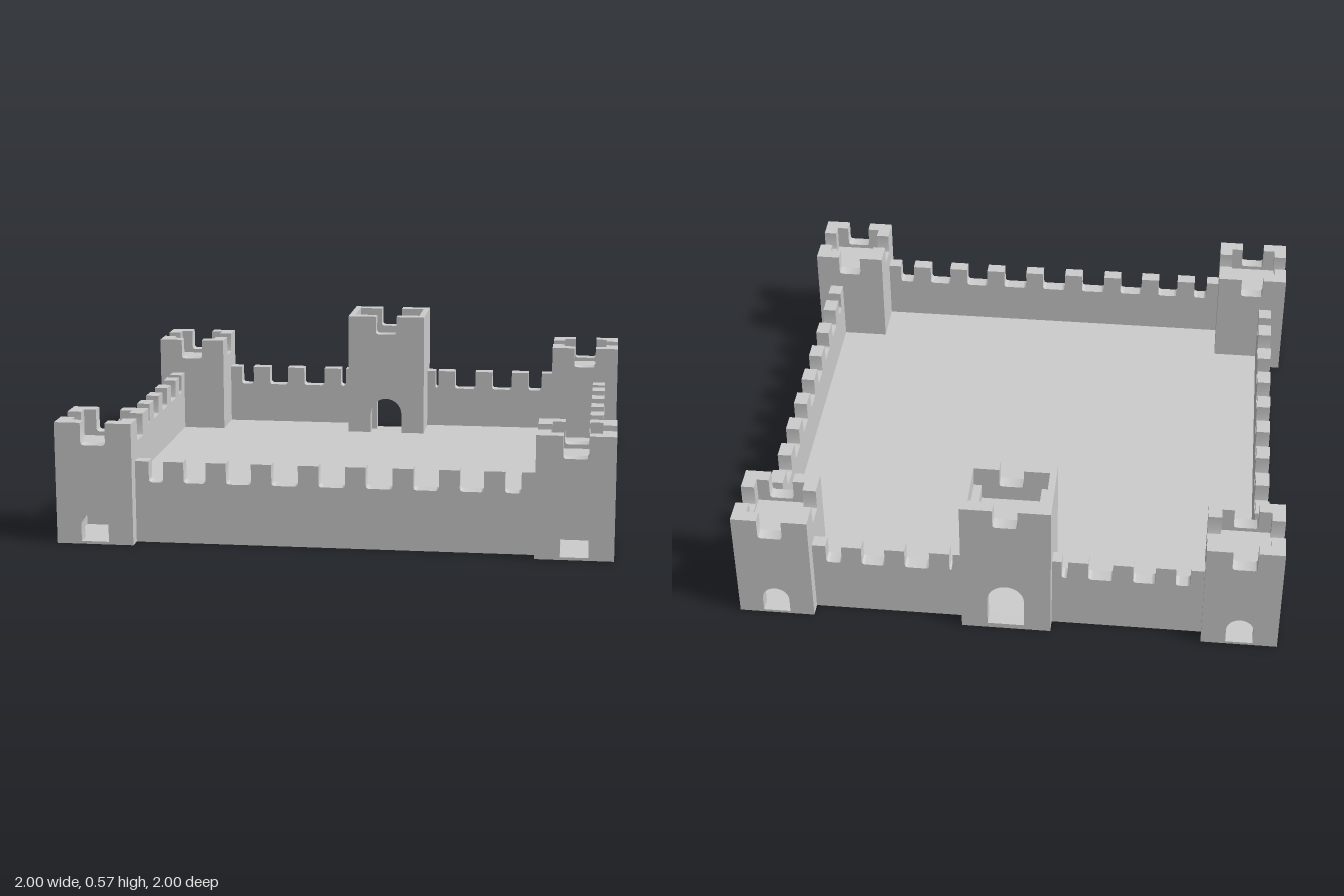
import * as THREE from 'three';
import { toCreasedNormals } from 'three/addons/utils/BufferGeometryUtils.js';

const mat = new THREE.MeshStandardMaterial({ color: 0xcccccc });
const COURT = 0.055; // courtyard level

function mesh(name, geo, x = 0, y = 0, z = 0) {
  const m = new THREE.Mesh(geo, mat);
  m.name = name;
  m.position.set(x, y, z);
  return m;
}

// box given by its lower centre
function box(name, w, h, d, x, y, z) {
  return mesh(name, new THREE.BoxGeometry(w, h, d), x, y + h / 2, z);
}

function extrude(shape, depth) {
  const geo = new THREE.ExtrudeGeometry(shape, { depth, bevelEnabled: false, curveSegments: 8 });
  return toCreasedNormals(geo, 0.6);
}

// upright outline with gaps cut down from the top; gap = [x0, x1], softened lower corners
function crenellated(x0, x1, top, gapY, gaps) {
  const r = 0.014;
  const s = new THREE.Shape();
  s.moveTo(x1, 0);
  s.lineTo(x1, top);
  for (const [a, b] of [...gaps].reverse()) {
    s.lineTo(b, top);
    s.lineTo(b, gapY + r);
    s.quadraticCurveTo(b, gapY, b - r, gapY);
    s.lineTo(a + r, gapY);
    s.quadraticCurveTo(a, gapY, a, gapY + r);
    s.lineTo(a, top);
  }
  s.lineTo(x0, top);
  s.lineTo(x0, 0);
  s.closePath();
  return s;
}

// round-headed doorway
function archHole(width, y0, y1) {
  const r = width / 2;
  const p = new THREE.Path();
  p.moveTo(-r, y0);
  p.lineTo(r, y0);
  p.lineTo(r, y1 - r);
  p.absarc(0, y1 - r, r, 0, Math.PI, false);
  p.closePath();
  return p;
}

// corner tower: four notched panels, doors on the two outer faces
function cornerTower() {
  const g = new THREE.Group();
  g.name = 'cornerTower';
  const w = 0.28, t = 0.05;
  for (let i = 0; i < 4; i++) {
    const half = i % 2 ? w / 2 - t : w / 2;
    const s = crenellated(-half, half, 0.447, 0.365, [[-0.045, 0.045]]);
    if (i < 2) s.holes.push(archHole(0.1, 0.01, 0.12));
    const geo = extrude(s, t);
    geo.translate(0, 0, w / 2 - t);
    const panel = mesh('towerWall', geo);
    panel.rotation.y = i * Math.PI / 2;
    g.add(panel);
  }
  g.add(box('towerRoof', w - 2 * t, 0.1, w - 2 * t, 0, 0.25, 0));
  g.add(box('towerFloor', w - 2 * t, 0.01, w - 2 * t, 0, 0, 0));
  return g;
}

// taller gate tower with a passage running through it
function gateTower() {
  const g = new THREE.Group();
  g.name = 'gateTower';
  const w = 0.33, d = 0.28, t = 0.05, side = 0.055;
  for (const sz of [1, -1]) {
    const s = crenellated(-w / 2, w / 2, 0.567, 0.49, [[-0.045, 0.045]]);
    s.holes.push(archHole(0.135, sz > 0 ? COURT : 0.02, 0.205));
    g.add(mesh('gateWall', extrude(s, t), 0, 0, sz > 0 ? d / 2 - t : -d / 2));
  }
  for (const sx of [1, -1]) {
    g.add(box('sideWall', side, 0.49, d - 2 * t, sx * (w - side) / 2, 0, 0));
    g.add(box('sideParapet', 0.025, 0.077, d - 2 * t, sx * (w - 0.025) / 2, 0.49, 0));
  }
  g.add(box('gateRoof', w - 2 * side, 0.1, d - 2 * t, 0, 0.33, 0));
  // passage floor slopes from the courtyard down to the outside
  const ramp = new THREE.Shape([[-0.09, 0], [0.09, 0], [0.09, 0.02], [-0.09, COURT]]
    .map(([x, y]) => new THREE.Vector2(x, y)));
  const geo = extrude(ramp, w - 2 * side);
  geo.translate(0, 0, -(w - 2 * side) / 2);
  geo.rotateY(Math.PI / 2);
  g.add(mesh('passageRamp', geo));
  return g;
}

// gaps between merlons, end merlons sit against the towers
function gapsFor(centres, half, first, last) {
  const gaps = [];
  let a = first;
  for (const c of centres) {
    gaps.push([a, c - half]);
    a = c + half;
  }
  gaps.push([a, last]);
  return gaps;
}

function curtainWall(name, x0, x1, gaps) {
  const geo = extrude(crenellated(x0, x1, 0.3, 0.223, gaps), 0.052);
  geo.translate(0, 0, 0.896);
  return mesh(name, geo);
}

export function createModel() {
  const model = new THREE.Group();
  model.name = 'castle';

  // courtyard slab, stepping round the towers
  const e = 0.92, k = 0.74, q = 0.13;
  const outline = [[-k, -e], [k, -e], [k, -k], [e, -k], [e, k], [k, k], [k, e],
    [q, e], [q, k], [-q, k], [-q, e], [-k, e], [-k, k], [-e, k], [-e, -k], [-k, -k]];
  const slab = extrude(new THREE.Shape(outline.map(([x, y]) => new THREE.Vector2(x, y))), COURT);
  slab.rotateX(-Math.PI / 2);
  model.add(mesh('courtyard', slab));

  // corner towers
  for (let i = 0; i < 4; i++) {
    const pivot = new THREE.Group();
    pivot.name = 'corner';
    const tower = cornerTower();
    tower.position.set(0.86, 0, 0.86);
    pivot.add(tower);
    pivot.rotation.y = i * Math.PI / 2;
    model.add(pivot);
  }

  // front and side walls
  const frontCentres = [-0.58, -0.425, -0.26, -0.09, 0.08, 0.25, 0.415, 0.575];
  const sideCentres = [-0.572, -0.407, -0.243, -0.08, 0.08, 0.243, 0.407, 0.572];
  model.add(curtainWall('frontWall', -0.72, 0.72, gapsFor(frontCentres, 0.037, -0.67, 0.67)));
  for (const s of [1, -1]) {
    const wall = curtainWall('sideCurtainWall', -0.72, 0.72, gapsFor(sideCentres, 0.037, -0.66, 0.66));
    wall.rotation.y = s * Math.PI / 2;
    model.add(wall);
  }

  // back wall, in two halves either side of the gate tower
  const backGaps = [
    [0.165, 0.72, gapsFor([0.26, 0.425, 0.58], 0.037, 0.2, 0.67)],
    [-0.72, -0.165, gapsFor([-0.575, -0.415, -0.25], 0.037, -0.67, -0.2)],
  ];
  for (const [x0, x1, gaps] of backGaps) {
    const wall = curtainWall('backWall', x0, x1, gaps);
    wall.rotation.y = Math.PI;
    model.add(wall);
  }

  const gate = gateTower();
  gate.position.z = -0.86;
  model.add(gate);
  return model;
}
